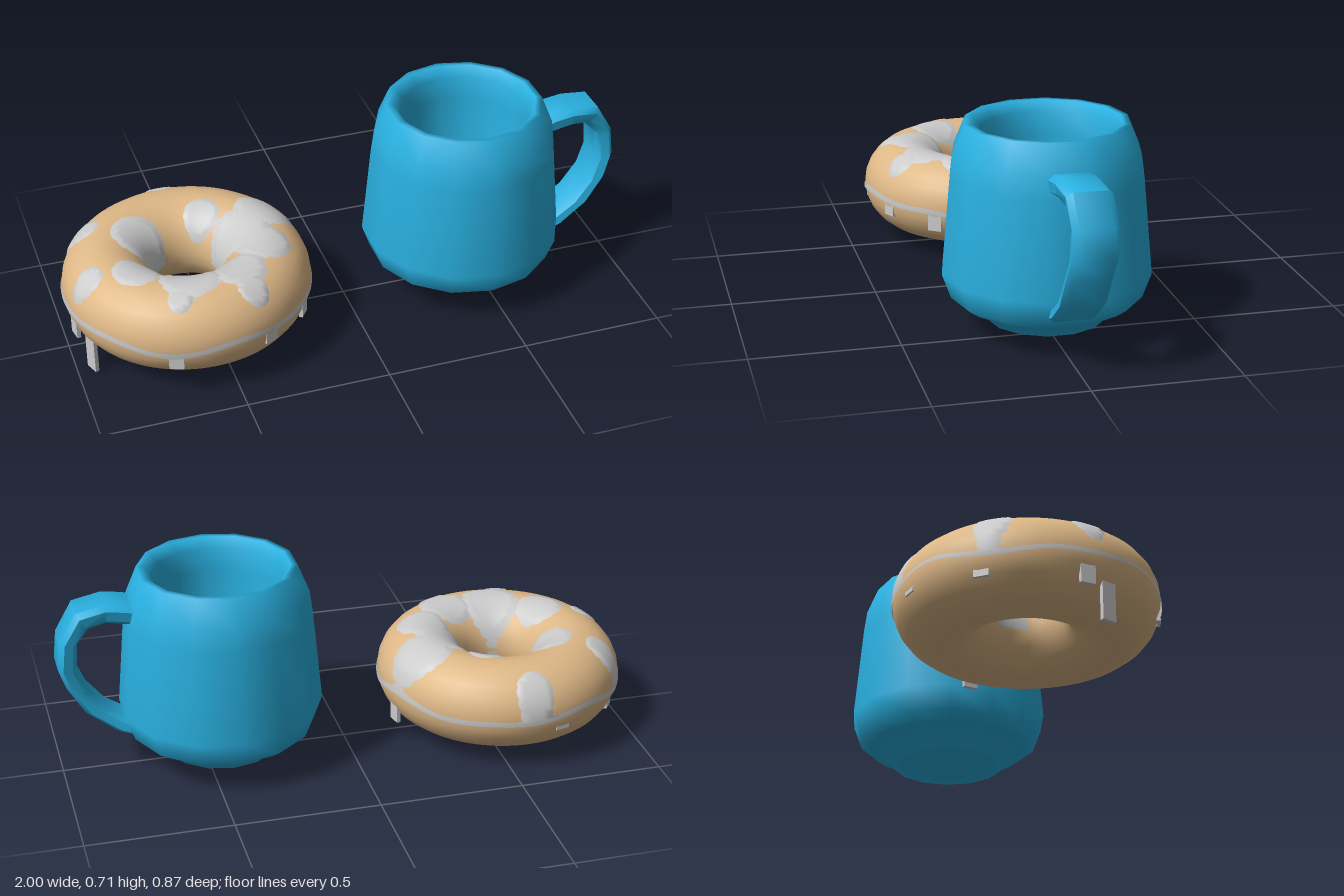
import * as THREE from 'three';
import { toCreasedNormals } from 'three/addons/utils/BufferGeometryUtils.js';
import { ParametricGeometry } from 'three/addons/geometries/ParametricGeometry.js';

const RING = 0.275, TUBE = 0.155;

const paint = (color) => new THREE.MeshStandardMaterial({ color, side: THREE.DoubleSide });

function part(name, geometry, material) {
  const mesh = new THREE.Mesh(geometry, material);
  mesh.name = name;
  return mesh;
}

// Icing patches seen from above: x, z, radius
const PATCHES = [
  [0.31, -0.1, 0.1], [0.2, -0.02, 0.1], [0.25, 0.1, 0.09], [0.13, 0.22, 0.09], [-0.04, 0.22, 0.1],
  [-0.2, 0.13, 0.08], [-0.36, 0.09, 0.05], [-0.32, -0.2, 0.06], [-0.14, -0.1, 0.09],
  [0.1, -0.16, 0.06], [0, -0.4, 0.06], [0.15, 0.32, 0.05], [-0.1, 0.32, 0.04],
];

// Icing shell: rises out of the dough inside the patches and along its lower lip
function icingPoint(u, v, target) {
  const a = u * Math.PI * 2;
  const start = -0.08 + 0.07 * Math.sin(4 * a) + 0.04 * Math.sin(7 * a + 1);
  const t = start + v * (Math.PI + 0.15 - start);
  const d = RING + TUBE * Math.cos(t);
  const x = d * Math.sin(a), z = d * Math.cos(a);
  let cover = v < 0.03 ? 0.3 : -1;
  for (const [px, pz, r] of PATCHES) cover = Math.max(cover, 1 - Math.hypot(x - px, z - pz) / r);
  const lift = THREE.MathUtils.clamp(cover * 0.02, -0.004, 0.004);
  const R = RING + (TUBE + lift) * Math.cos(t);
  target.set(R * Math.sin(a), (TUBE + lift) * Math.sin(t), R * Math.cos(a));
}

// Drips hanging from the icing: x, z, bottom, top (in world height)
const DRIPS = [
  [-0.375, 0.145, 0, 0.13], [-0.41, 0.07, 0.1, 0.19], [-0.14, 0.395, 0.13, 0.2], [0.19, 0.375, 0.15, 0.21],
  [0.345, 0.24, 0.13, 0.19], [0.4, -0.08, 0.08, 0.17], [-0.1, -0.405, 0.15, 0.21], [-0.33, -0.24, 0.12, 0.19],
];

function donut() {
  const group = new THREE.Group();
  group.name = 'donut';
  const dough = new THREE.TorusGeometry(RING, TUBE, 24, 96).rotateX(-Math.PI / 2);
  group.add(part('dough', dough, paint(0xdeb887)));
  const grey = paint(0xcccccc);
  group.add(part('icing', new ParametricGeometry(icingPoint, 128, 48), grey));
  for (const [x, z, low, high] of DRIPS) {
    const drip = part('icingDrip', new THREE.BoxGeometry(0.05, high - low, 0.014), grey);
    drip.position.set(x, (low + high) / 2 - 0.205, z);
    drip.rotation.y = Math.atan2(x, z);
    group.add(drip);
  }
  group.position.set(-0.57, 0.205, 0);
  return group;
}

// Handle stations: outer x, y, inner x, y, and z shift
const HANDLE = [
  [0.7, 0.61, 0.7, 0.54, 0], [0.76, 0.628, 0.76, 0.555, 0], [0.83, 0.638, 0.83, 0.568, 0],
  [0.93, 0.622, 0.89, 0.558, -0.01], [0.99, 0.52, 0.93, 0.51, -0.015], [1.0, 0.42, 0.937, 0.41, -0.01],
  [0.975, 0.345, 0.9, 0.32, 0], [0.915, 0.245, 0.84, 0.245, 0], [0.81, 0.16, 0.77, 0.2, 0], [0.67, 0.1, 0.67, 0.18, 0],
];

// Chamfered band: across the thickness (0 outer, 1 inner) and half width
const SECTION = [[0, -0.055], [0, 0.055], [0.25, 0.075], [0.75, 0.07], [1, 0.045], [1, -0.045], [0.75, -0.07], [0.25, -0.075]];

function handleGeometry() {
  const positions = [], index = [], n = SECTION.length;
  for (const [ox, oy, ix, iy, shift] of HANDLE) {
    for (const [t, w] of SECTION) positions.push(ox + (ix - ox) * t, oy + (iy - oy) * t, w + shift);
  }
  for (let i = 0; i < HANDLE.length - 1; i++) {
    for (let j = 0; j < n; j++) {
      const a = i * n + j, b = i * n + (j + 1) % n;
      index.push(a, b, a + n, b, b + n, a + n);
    }
  }
  const geometry = new THREE.BufferGeometry();
  geometry.setAttribute('position', new THREE.Float32BufferAttribute(positions, 3));
  geometry.setIndex(index);
  return toCreasedNormals(geometry, 0.8);
}

function mug() {
  const group = new THREE.Group();
  group.name = 'mug';
  const blue = paint(0x29b0e0);
  // Recessed foot, belly, rim, then the inside down to the floor
  const profile = [
    [0, 0.06], [0.165, 0.06], [0.18, 0.04], [0.2, 0.04], [0.2, 0.058], [0.285, 0.1], [0.322, 0.127], [0.352, 0.21],
    [0.322, 0.54], [0.312, 0.615], [0.272, 0.713], [0.25, 0.713], [0.223, 0.68], [0.218, 0.6],
    [0.205, 0.25], [0.148, 0.13], [0, 0.12],
  ].map(([r, y]) => new THREE.Vector2(r, y));
  const body = part('mugBody', new THREE.LatheGeometry(profile, 14), blue);
  body.position.x = 0.44;
  group.add(body, part('mugHandle', handleGeometry(), blue));
  return group;
}

export function createModel() {
  const model = new THREE.Group();
  model.name = 'mugAndDonut';
  model.add(donut(), mug());
  return model;
}
